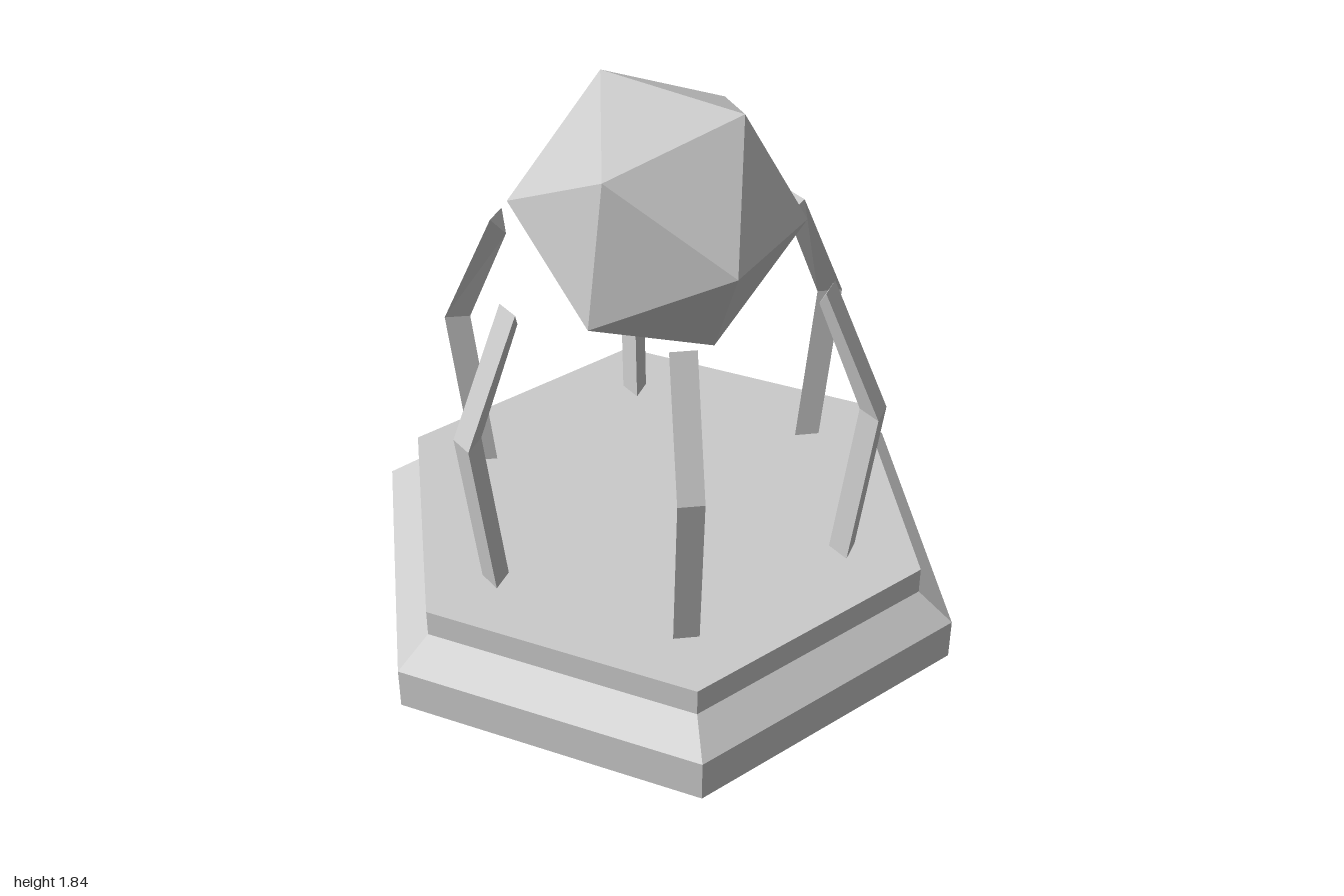
import * as THREE from 'three';

const material = new THREE.MeshStandardMaterial({ color: 0xcccccc, flatShading: true });

function part(name, geometry) {
  const mesh = new THREE.Mesh(geometry, material);
  mesh.name = name;
  return mesh;
}

// Hexagonal plinth: a six-sided lathe with chamfered steps, corners on +z and -z
function plinthGeometry() {
  const profile = [[0, 0], [0.96, 0], [1, 0.04], [1, 0.18], [0.885, 0.27], [0.885, 0.36], [0, 0.36]];
  const points = profile.map(([r, y]) => new THREE.Vector2(r, y));
  const geometry = new THREE.LatheGeometry(points, 6).toNonIndexed();
  geometry.computeVertexNormals();
  return geometry;
}

// Bent claw with a triangular section: flat outside, ridge inside
function clawGeometry() {
  // outer radius, outer height, ridge radius, ridge height
  const sections = [
    [0.654, 0.35, 0.583, 0.35],
    [0.723, 0.915, 0.652, 0.915],
    [0.54, 1.318, 0.508, 1.255],
  ];
  const rings = sections.map(([ro, yo, ri, yi]) => [[-0.04, yo, ro], [0.04, yo, ro], [0, yi, ri]]);
  const triangles = [];
  for (let s = 0; s < rings.length - 1; s++) {
    const low = rings[s], high = rings[s + 1];
    for (let a = 0; a < 3; a++) {
      const b = (a + 1) % 3;
      triangles.push(low[a], low[b], high[b], low[a], high[b], high[a]);
    }
  }
  triangles.push(...rings[2], rings[0][0], rings[0][2], rings[0][1]); // end caps
  const geometry = new THREE.BufferGeometry();
  geometry.setAttribute('position', new THREE.Float32BufferAttribute(triangles.flat(), 3));
  geometry.computeVertexNormals();
  return geometry;
}

// Faceted crystal, tilted above the claws
function crystalGeometry() {
  const yAxis = new THREE.Vector3(0.106, 0.993, -0.046).normalize();
  const zAxis = new THREE.Vector3(0.809, -0.064, 0.585).cross(yAxis).normalize();
  const xAxis = yAxis.clone().cross(zAxis);
  const tilt = new THREE.Matrix4().makeBasis(xAxis, yAxis, zAxis);
  return new THREE.IcosahedronGeometry(0.445, 0).applyMatrix4(tilt);
}

export function createModel() {
  const model = new THREE.Group();
  model.name = 'crystalPedestal';
  model.add(part('plinth', plinthGeometry()));

  // Six claws, one toward each corner of the plinth
  const claws = new THREE.Group();
  claws.name = 'claws';
  const claw = clawGeometry();
  for (let i = 0; i < 6; i++) {
    const mesh = part('claw', claw);
    mesh.rotation.y = (i * Math.PI) / 3;
    claws.add(mesh);
  }
  model.add(claws);

  const crystal = part('crystal', crystalGeometry());
  crystal.position.y = 1.453;
  model.add(crystal);
  return model;
}
